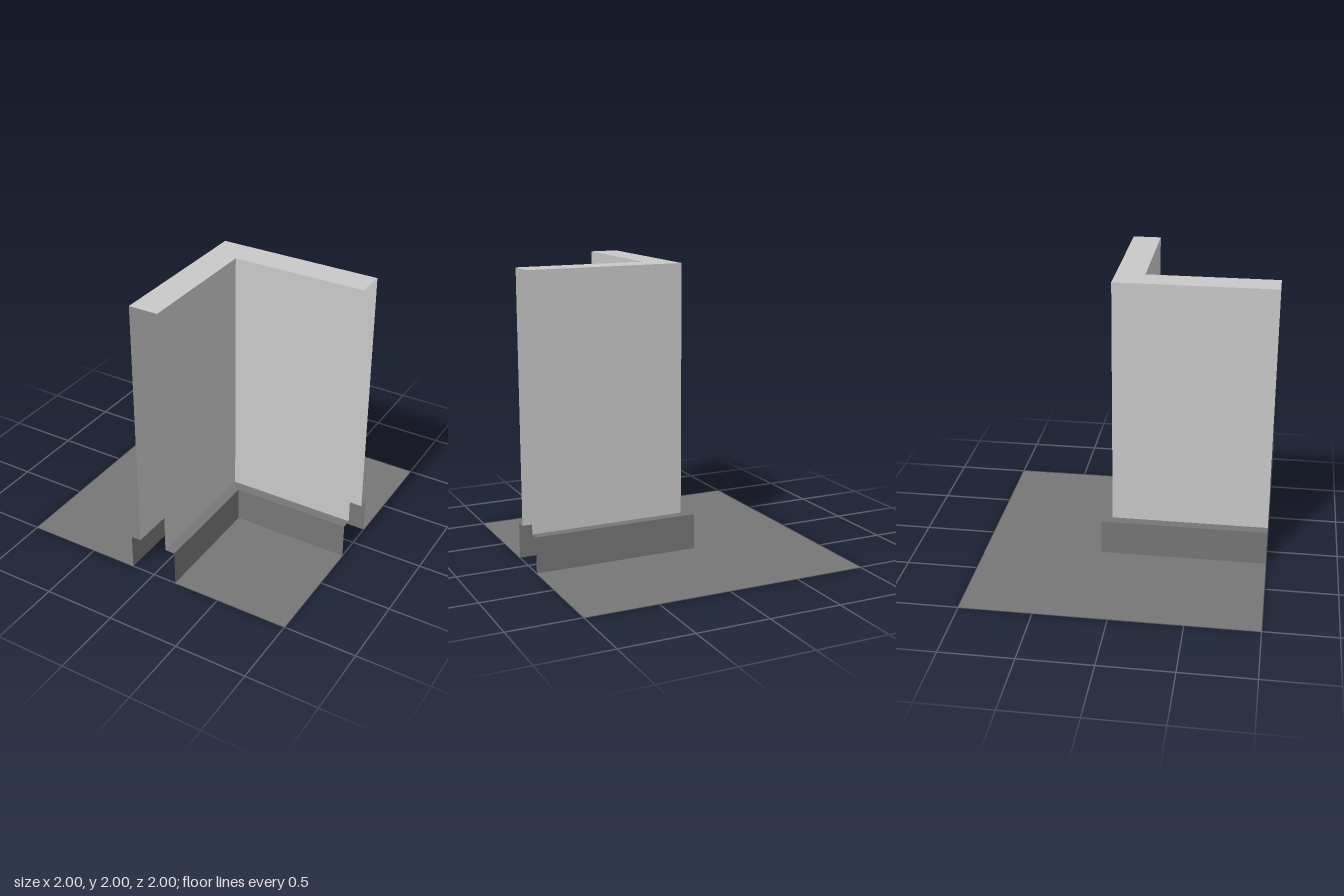
import * as THREE from 'three';

const flat = (name, color) =>
  new THREE.MeshStandardMaterial({ name, color, side: THREE.DoubleSide, flatShading: true });

// Sweeps an open profile of [offset, y] points round the mitred corner.
// Each offset d traces the L-shaped path (1,d) -> (d,d) -> (d,1) in x,z.
function sweepCorner(profile) {
  const positions = [];
  const path = ([d, y]) => [[1, y, d], [d, y, d], [d, y, 1]];
  for (let i = 0; i < profile.length - 1; i++) {
    const from = path(profile[i]);
    const to = path(profile[i + 1]);
    for (let k = 0; k < 2; k++) {
      positions.push(...from[k], ...from[k + 1], ...to[k + 1]);
      positions.push(...from[k], ...to[k + 1], ...to[k]);
    }
  }
  const geometry = new THREE.BufferGeometry();
  geometry.setAttribute('position', new THREE.Float32BufferAttribute(positions, 3));
  geometry.computeVertexNormals();
  return geometry;
}

export function createModel() {
  const model = new THREE.Group();
  model.name = 'wallCorner';
  const wallPaint = flat('lightGrey', 0xc9c9c9);
  const basePaint = flat('darkGrey', 0x767676);

  const WALL = 0.1;    // half thickness of the wall
  const BASE = 0.17;   // half thickness of the skirting
  const STEP = 0.25;   // skirting height
  const TOP = 2;

  const add = (name, geometry, material) => {
    const mesh = new THREE.Mesh(geometry, material);
    mesh.name = name;
    model.add(mesh);
    return mesh;
  };

  // Hollow wall shell: two faces and a top, open at its ends and underneath
  add('wall', sweepCorner([[-WALL, STEP], [-WALL, TOP], [WALL, TOP], [WALL, STEP]]), wallPaint);

  // Skirting on both sides of the wall, each a ledge and a face
  add('outerSkirting', sweepCorner([[-BASE, 0], [-BASE, STEP], [-WALL, STEP]]), basePaint);
  add('innerSkirting', sweepCorner([[WALL, STEP], [BASE, STEP], [BASE, 0]]), basePaint);

  // Floor, with a gap left under the wall
  add('outerFloor', sweepCorner([[-1, 0], [-BASE, 0]]), basePaint);
  const size = 1 - BASE;
  const inner = add('innerFloor', new THREE.PlaneGeometry(size, size).rotateX(-Math.PI / 2), basePaint);
  inner.position.set((1 + BASE) / 2, 0, (1 + BASE) / 2);

  return model;
}
